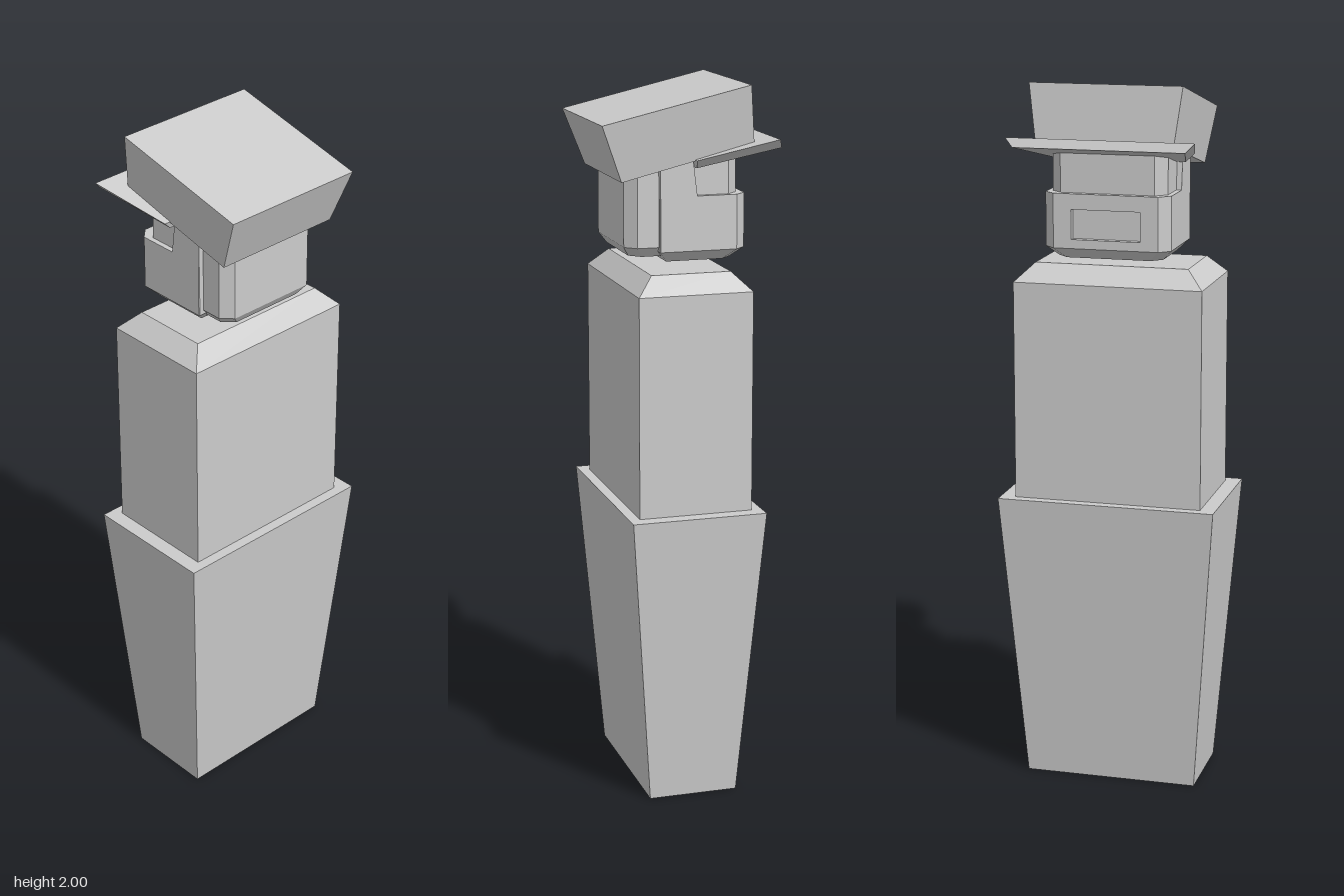
import * as THREE from 'three';

const material = new THREE.MeshStandardMaterial({ color: 0xcccccc, flatShading: true });

function addMesh(group, name, geometry) {
  const mesh = new THREE.Mesh(geometry, material);
  mesh.name = name;
  group.add(mesh);
  return mesh;
}

// Faceted solid through rings of [x, y, z] corners, bottom to top.
// skip(ring, side) leaves a side face open.
function loft(rings, skip = () => false) {
  const out = [];
  const tri = (a, b, c) => out.push(...a, ...b, ...c);
  const n = rings[0].length;
  for (let r = 0; r < rings.length - 1; r++) {
    for (let i = 0; i < n; i++) {
      if (skip(r, i)) continue;
      const j = (i + 1) % n;
      tri(rings[r][i], rings[r][j], rings[r + 1][j]);
      tri(rings[r][i], rings[r + 1][j], rings[r + 1][i]);
    }
  }
  const low = rings[0], high = rings[rings.length - 1];
  for (let i = 1; i < n - 1; i++) {
    tri(low[0], low[i + 1], low[i]);
    tri(high[0], high[i], high[i + 1]);
  }
  const geometry = new THREE.BufferGeometry();
  geometry.setAttribute('position', new THREE.Float32BufferAttribute(out, 3));
  geometry.computeVertexNormals();
  return geometry;
}

// Four-cornered ring; each end has its own half width and height
const ring = (xFront, yFront, zFront, xBack, yBack, zBack) => [
  [-xFront, yFront, zFront], [xFront, yFront, zFront],
  [xBack, yBack, zBack], [-xBack, yBack, zBack],
];
const level = (x, y, z) => ring(x, y, z, x, y, -z);

// Ring with cut corners; c1 cuts the +z corners and c2 the -z corners
const cutRing = (x, y, z1, z2, c1, c2) => [
  [-x + c1, y, z1], [x - c1, y, z1], [x, y, z1 - c1], [x, y, z2 + c2],
  [x - c2, y, z2], [-x + c2, y, z2], [-x, y, z2 + c2], [-x, y, z1 - c1],
];

export function createModel() {
  const model = new THREE.Group();
  model.name = 'figure';

  // Tapered lower body and bevelled torso
  addMesh(model, 'lowerBody', loft([level(0.247, 0, 0.127), level(0.31, 0.835, 0.191)]));
  addMesh(model, 'torso', loft([
    level(0.267, 0.8, 0.161), level(0.267, 1.45, 0.161), level(0.217, 1.5, 0.112),
  ]));

  const head = new THREE.Group();
  head.name = 'head';
  model.add(head);

  // Skull with cut corners
  addMesh(head, 'skull', loft([
    cutRing(0.14, 1.538, 0.147, -0.135, 0.03, 0.03),
    cutRing(0.162, 1.565, 0.165, -0.152, 0.03, 0.03),
    cutRing(0.162, 1.84, 0.165, -0.152, 0.03, 0.03),
  ]));

  // Jaw guard wraps the lower face; its mouth face is left open
  const jawRing = (x, y, z1, z2) => cutRing(x, y, z1, z2, 0.002, 0.03);
  addMesh(head, 'jaw', loft([
    jawRing(0.147, 1.523, 0.05, -0.14),
    jawRing(0.177, 1.553, 0.075, -0.172),
    jawRing(0.177, 1.703, 0.075, -0.172),
  ], (r, i) => r === 1 && i === 4));

  // Mouth plate with a rectangular opening
  const plate = new THREE.Shape([
    [-0.147, 1.553], [0.147, 1.553], [0.147, 1.703], [-0.147, 1.703],
  ].map(([x, y]) => new THREE.Vector2(x, y)));
  plate.holes.push(new THREE.Path([
    [-0.097, 1.578], [-0.097, 1.66], [0.097, 1.66], [0.097, 1.578],
  ].map(([x, y]) => new THREE.Vector2(x, y))));
  const plateGeometry = new THREE.ExtrudeGeometry(plate, { depth: 0.022, bevelEnabled: false });
  addMesh(head, 'mouthPlate', plateGeometry.translate(0, 0, -0.172));

  // Cheek straps rise from the jaw to the hat
  addMesh(head, 'cheekStraps', loft([
    ring(0.177, 1.7, 0.075, 0.177, 1.7, -0.03),
    ring(0.177, 1.82, 0.075, 0.177, 1.82, -0.015),
  ]));

  // Tilted hat and its flared brim
  const hat = new THREE.Group();
  hat.name = 'hat';
  model.add(hat);
  addMesh(hat, 'crown', loft([
    ring(0.192, 1.75, 0.187, 0.192, 1.84, -0.185),
    ring(0.213, 1.905, 0.245, 0.213, 2, -0.169),
  ]));
  addMesh(hat, 'brim', loft([
    ring(0.187, 1.78, -0.025, 0.238, 1.833, -0.247),
    ring(0.211, 1.803, -0.018, 0.262, 1.858, -0.235),
  ]));

  return model;
}
